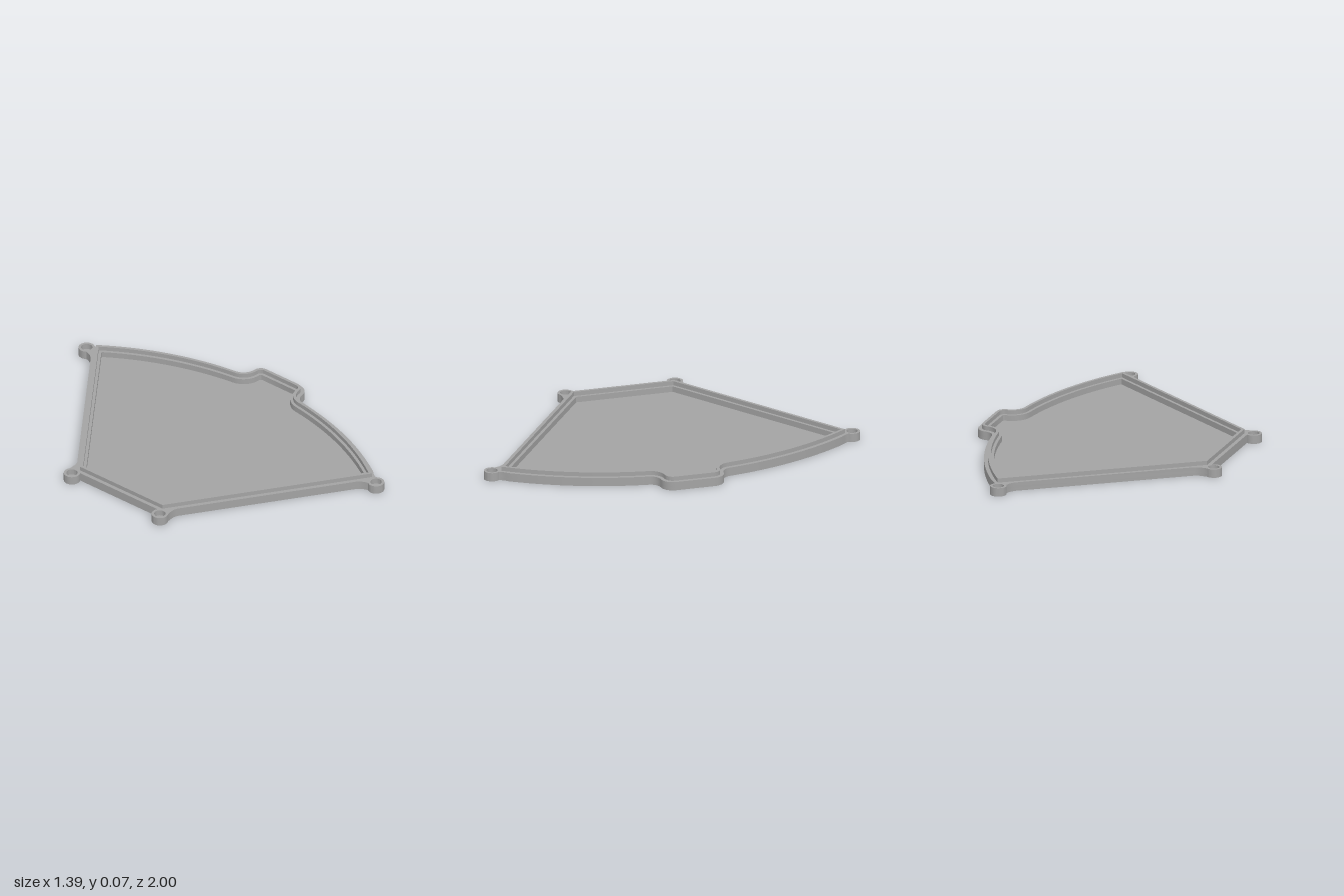
import * as THREE from 'three';
import { toCreasedNormals } from 'three/addons/utils/BufferGeometryUtils.js';

const CX = -1.035, R = 1.626;             // centre and radius of the sector
const A = THREE.MathUtils.degToRad(35.4); // half angle of the sector
const LEFT = -0.637, TAB_X = 0.69, TAB_Z = 0.167;
const LUG_R = 0.042, HOLE_R = 0.029;
const LUGS = [[-0.66, 0.291], [0.265, 0.958]];

// Points along an arc, angles in radians
function arc(x, z, r, a0, a1, n) {
  return Array.from({ length: n + 1 }, (_, i) => {
    const a = a0 + (a1 - a0) * i / n;
    return [x + r * Math.cos(a), z + r * Math.sin(a)];
  });
}

// Curved edge and tab, inset by d, starting at a given sector angle
function curvedEdge(d, start) {
  const rc = R - d, rf = 0.055 + d, rt = 0.063 - d;
  const fz = TAB_Z + 0.055;
  const fx = CX + Math.sqrt((rc + rf) ** 2 - fz ** 2);
  const end = Math.atan2(fz, fx - CX);
  return [
    ...arc(CX, 0, rc, start, end, 24),
    ...arc(fx, fz, rf, end + Math.PI, Math.PI * 1.5, 8).slice(1),
    ...arc(TAB_X - 0.063, TAB_Z - 0.063, rt, Math.PI / 2, 0, 8),
  ];
}

// Mirror a half outline across z = 0 and close it
function mirrored(half) {
  const all = [...half, ...half.map(([x, z]) => [x, -z]).reverse()];
  return all.map(([x, z]) => new THREE.Vector2(x, -z));
}

// Plain sector outline inset by d
function inset(d) {
  const x = LEFT + d;
  const z = (x - CX) * Math.tan(A) - d / Math.cos(A);
  return mirrored([[x, z], ...curvedEdge(d, A - Math.asin(d / (R - d)))]);
}

// Outer outline with the screw lugs blended into the corners
function outline() {
  const [[ax, az], [bx, bz]] = LUGS;
  return mirrored([
    [LEFT, 0.245],
    ...arc(ax, az, LUG_R, -0.98, -2 * Math.PI + 0.98, 24),
    [-0.615, 0.324], [-0.59, 0.324], [-0.57, 0.3305],
    [0.2, 0.878], [0.217, 0.896], [0.226, 0.914],
    ...arc(bx, bz, LUG_R, 3.8, -0.7, 24),
    [0.302, 0.918], [0.312, 0.904],
    ...curvedEdge(0, Math.asin(0.884 / R)),
  ]);
}

export function createModel() {
  const group = new THREE.Group();
  const grey = new THREE.MeshStandardMaterial({ color: 0xa3a3a3 });
  grey.name = 'grey';

  // Extrude a flat outline upward between two heights
  function layer(name, points, holes, y0, y1) {
    const shape = new THREE.Shape(points);
    shape.holes = holes.map((h) => new THREE.Path(h));
    const geo = new THREE.ExtrudeGeometry(shape, { depth: y1 - y0, bevelEnabled: false });
    geo.rotateX(-Math.PI / 2).translate(0, y0, 0);
    const mesh = new THREE.Mesh(toCreasedNormals(geo, 0.5), grey);
    mesh.name = name;
    group.add(mesh);
  }

  // Blind screw holes in all four lugs
  const screwHoles = LUGS.flatMap(([x, z]) => [z, -z].map((s) =>
    arc(x, s, HOLE_R, 0, Math.PI * 2, 28).slice(0, -1).map(([px, pz]) => new THREE.Vector2(px, -pz))));

  layer('floor', outline(), [], 0, 0.015);
  layer('rim', outline(), [inset(0.05), ...screwHoles], 0.015, 0.045);
  layer('raisedLip', inset(0.02), [inset(0.035)], 0.045, 0.067);
  return group;
}
